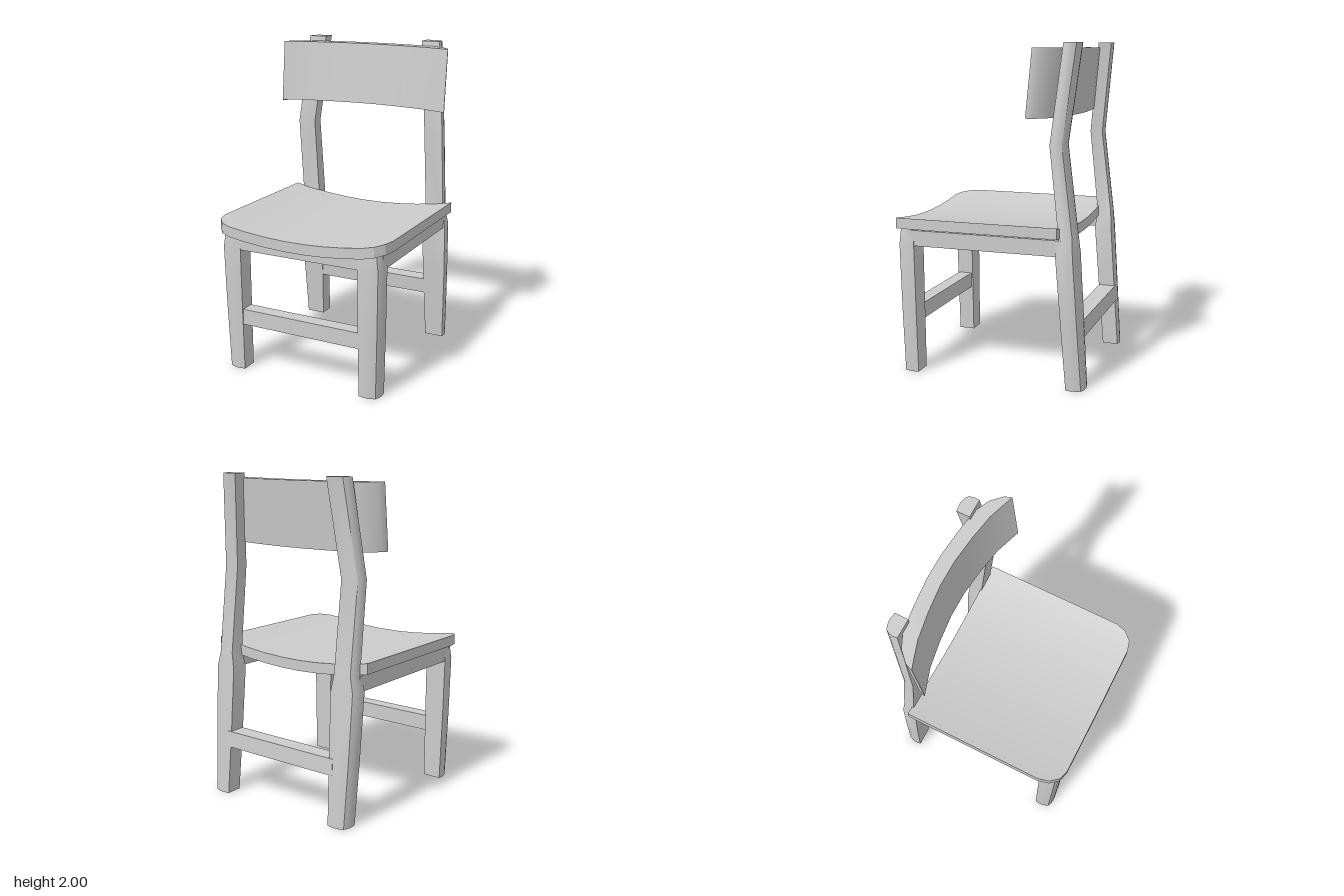
import * as THREE from 'three';
import { toCreasedNormals } from 'three/addons/utils/BufferGeometryUtils.js';

const material = new THREE.MeshStandardMaterial({ color: 0xcccccc });

// Closed solid through a series of convex rings with equal point counts
function loft(name, rings) {
  const n = rings[0].length, pos = rings.flat(2), tris = [];
  for (let r = 0; r < rings.length - 1; r++) {
    for (let i = 0; i < n; i++) {
      const a = r * n + i, b = r * n + (i + 1) % n;
      tris.push([a, b, b + n], [a, b + n, a + n]);
    }
  }
  const end = (rings.length - 1) * n;
  for (let i = 1; i < n - 1; i++) tris.push([0, i + 1, i], [end, end + i, end + i + 1]);
  // Turn the faces outward whichever way the rings run
  const point = (i) => new THREE.Vector3().fromArray(pos, i * 3);
  const volume = tris.reduce((s, [a, b, c]) => s + point(a).dot(point(b).cross(point(c))), 0);
  if (volume < 0) tris.forEach((t) => t.reverse());
  const geo = new THREE.BufferGeometry();
  geo.setAttribute('position', new THREE.Float32BufferAttribute(pos, 3));
  geo.setIndex(tris.flat());
  const mesh = new THREE.Mesh(toCreasedNormals(geo, 0.45), material);
  mesh.name = name;
  return mesh;
}

// Leg section: two flat inner sides, two gently bowed outer sides.
// inner/outer are x limits, zIn/zOut the z limits (zOut is the bowed side).
function legRing(side, [y, inner, outer, zIn, zOut]) {
  const bow = 0.016, dz = Math.sign(zOut - zIn), w = outer - inner, d = zOut - zIn;
  return [
    [inner, zIn], [inner, zOut - dz * 0.006],
    [inner + w * 0.25, zOut - dz * 0.001], [inner + w * 0.45, zOut],
    [inner + w * 0.68, zOut - dz * 0.005], [outer - bow, zOut - dz * bow],
    [outer - 0.005, zIn + d * 0.6], [outer, zIn + d * 0.35], [outer - 0.003, zIn],
  ].map(([x, z]) => [side * x, y, z]);
}

function box(name, x0, x1, y0, y1, z0, z1) {
  const mesh = new THREE.Mesh(new THREE.BoxGeometry(x1 - x0, y1 - y0, z1 - z0), material);
  mesh.position.set((x0 + x1) / 2, (y0 + y1) / 2, (z0 + z1) / 2);
  mesh.name = name;
  return mesh;
}

const mirrored = (half) => [...half.map(([x, ...v]) => [-x, ...v]), ...half.slice().reverse()];
const seatTop = (x) => 0.91 + 0.18 * x * x;
const seatThickness = 0.065;

export function createModel() {
  const chair = new THREE.Group();
  chair.name = 'chair';

  // Dished seat with rounded front corners: [x, front z]
  const seatHalf = [[0.575, 0.46], [0.556, 0.53], [0.51, 0.582], [0.445, 0.6],
    [0.33, 0.6], [0.2, 0.6], [0.07, 0.6]];
  chair.add(loft('seat', mirrored(seatHalf).map(([x, z]) => {
    const y = seatTop(x), b = y - seatThickness;
    return [[x, y, -0.45], [x, y, z], [x, b, z], [x, b, -0.45]];
  })));

  // Curved, leaning backrest: [x, front z at the top, back z at the top]
  const backHalf = [[0.575, -0.3, -0.306], [0.56, -0.306, -0.345], [0.5, -0.326, -0.405],
    [0.41, -0.355, -0.447], [0.25, -0.382, -0.47], [0.08, -0.4, -0.485]];
  chair.add(loft('backrest', mirrored(backHalf).map(([x, f, b]) => [
    [x, 1.97, f], [x, 1.97, b], [x, 1.58, b + 0.038], [x, 1.588, f + 0.038],
  ])));

  // Leg stations: [y, inner x, outer x, inner z, outer z]
  const frontStations = [[0, 0.4, 0.522, 0.445, 0.552], [0.4, 0.398, 0.532, 0.45, 0.563],
    [0.8, 0.396, 0.538, 0.455, 0.571], [0.895, 0.396, 0.525, 0.456, 0.565]];
  const rearStations = [[0, 0.4, 0.525, -0.495, -0.6], [0.4, 0.388, 0.538, -0.464, -0.573],
    [0.8, 0.382, 0.545, -0.432, -0.546], [0.9, 0.4, 0.523, -0.445, -0.538],
    [1.43, 0.4, 0.523, -0.388, -0.472], [2, 0.343, 0.465, -0.447, -0.535]];

  for (const [side, label] of [[1, 'left'], [-1, 'right']]) {
    chair.add(loft(label + 'FrontLeg', frontStations.map((s) => legRing(side, s))));
    chair.add(loft(label + 'RearLeg', rearStations.map((s) => legRing(side, s))));
    // Side rail under the seat
    const xs = [side * 0.43, side * 0.53].sort((a, b) => a - b);
    chair.add(box(label + 'SideRail', xs[0], xs[1], 0.795, 0.89, -0.46, 0.5));
  }

  // Front rail, its top following the dish of the seat
  chair.add(loft('frontRail', [-0.42, -0.25, -0.08, 0.08, 0.25, 0.42].map((x) => {
    const t = seatTop(x) - seatThickness + 0.01;
    return [[x, 0.795, 0.46], [x, t, 0.46], [x, t, 0.56], [x, 0.795, 0.56]];
  })));

  // Stretchers between the legs
  chair.add(box('frontStretcher', -0.42, 0.42, 0.305, 0.405, 0.46, 0.55));
  chair.add(loft('rearStretcher', [-0.42, 0.42].map((x) => [
    [x, 0.305, -0.475], [x, 0.405, -0.467], [x, 0.405, -0.573], [x, 0.305, -0.58],
  ])));

  return chair;
}
